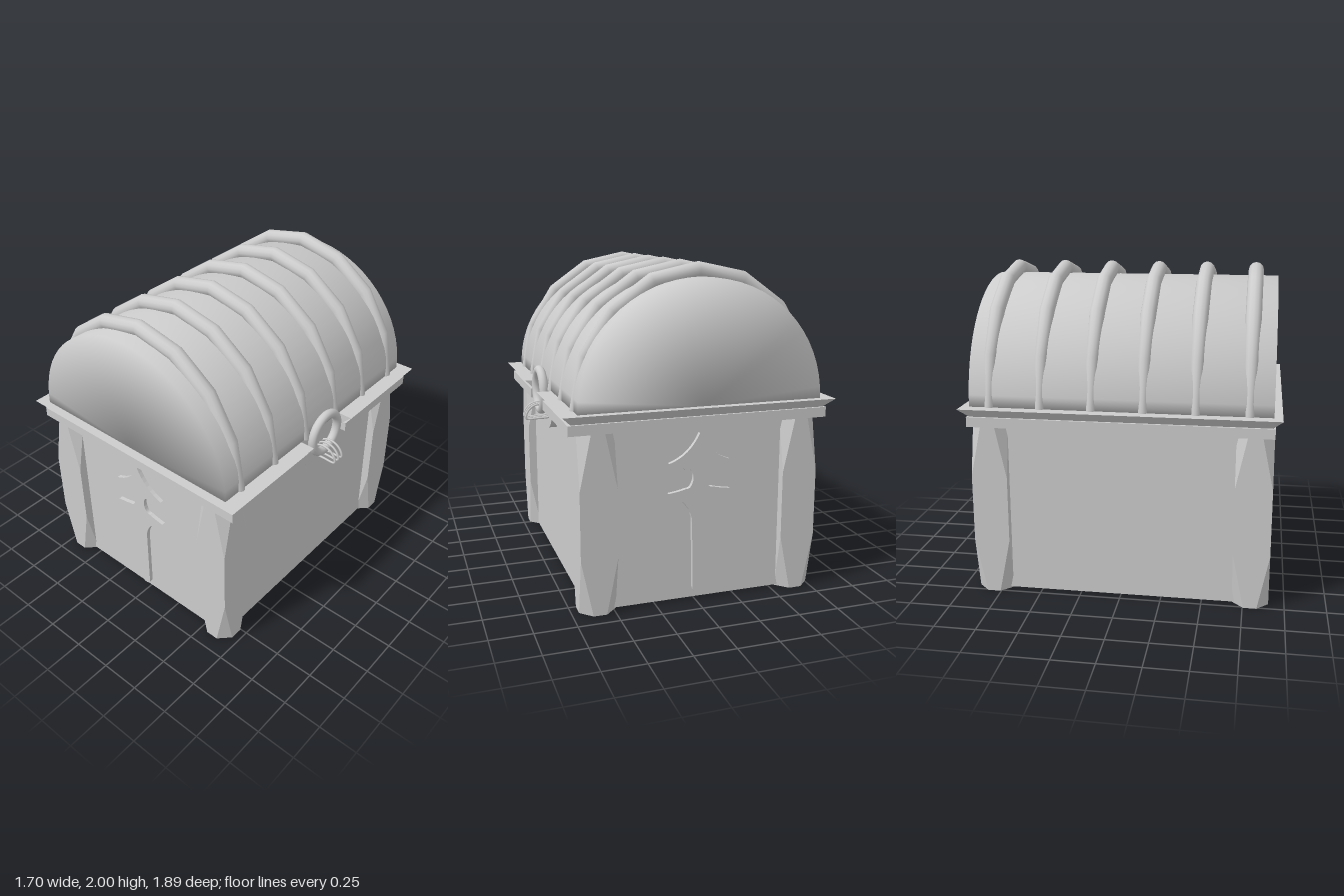
import * as THREE from 'three';
import { mergeGeometries, mergeVertices } from 'three/addons/utils/BufferGeometryUtils.js';
import { ConvexGeometry } from 'three/addons/geometries/ConvexGeometry.js';

const CX = -0.028; // middle of the chest body, the ring sticks out on +x
const grey = new THREE.MeshStandardMaterial({ color: 0xcccccc });
grey.name = 'plain grey';

function part(parent, name, geometry, x = 0, y = 0, z = 0) {
  const mesh = new THREE.Mesh(geometry, grey);
  mesh.name = name;
  mesh.position.set(x, y, z);
  parent.add(mesh);
  return mesh;
}

// Corner post: square in the middle, corners cut away towards both ends
function postGeometry() {
  const h = 0.11, c = 0.04, pts = [];
  for (const [y, k] of [[0, c], [0.34, h], [0.75, h], [1.08, c]]) {
    for (const a of [-1, 1]) for (const b of [-1, 1]) {
      pts.push(new THREE.Vector3(a * h, y, b * k));
      if (k !== h) pts.push(new THREE.Vector3(a * k, y, b * h));
    }
  }
  return new ConvexGeometry(pts);
}

// Rim layer: rectangle with a notch on +x, laid flat with its top at y = 0
function rimGeometry(x0, x1, z, height) {
  const s = new THREE.Shape();
  s.moveTo(x0, -z);
  for (const [x, y] of [[x1, -z], [x1, -0.2], [0.7, -0.2], [0.7, 0.195], [x1, 0.195], [x1, z], [x0, z]]) s.lineTo(x, y);
  return new THREE.ExtrudeGeometry(s, { depth: height, bevelEnabled: false }).rotateX(Math.PI / 2);
}

// Half-round lid, softly shaded across its ends
function lidGeometry() {
  const r = 0.74, len = 1.79;
  const arch = new THREE.CylinderGeometry(r, r, len, 32, 1, false, Math.PI / 2, Math.PI).rotateX(Math.PI / 2);
  const floor = new THREE.PlaneGeometry(2 * r, len, 2, 1).rotateX(Math.PI / 2);
  const g = mergeGeometries([arch, floor]);
  g.deleteAttribute('normal');
  g.deleteAttribute('uv');
  const merged = mergeVertices(g, 1e-3);
  merged.scale(1, 0.98, 1);
  merged.computeVertexNormals();
  return merged;
}

// Rib over the lid: eight straight lengths, thinner at the feet
function ribGeometry() {
  const steps = 8, sides = 12, pos = [], idx = [];
  for (let i = 0; i <= steps; i++) {
    const t = (i / steps) * Math.PI, c = Math.cos(t), s = Math.sin(t);
    const r = 0.028 + 0.019 * Math.min(1, s * 1.4);
    for (let j = 0; j < sides; j++) {
      const a = (j / sides) * Math.PI * 2, out = r * (Math.cos(a) - 1);
      pos.push((0.758 + out) * c, (0.81 + out) * s, r * Math.sin(a));
      if (i < steps) {
        const p = i * sides + j, q = i * sides + ((j + 1) % sides);
        idx.push(p, p + sides, q, q, p + sides, q + sides);
      }
    }
  }
  const g = new THREE.BufferGeometry();
  g.setAttribute('position', new THREE.Float32BufferAttribute(pos, 3));
  g.setIndex(idx);
  g.computeVertexNormals();
  return g;
}

// Dagger-like ornament with two round holes
function ornamentGeometry() {
  // each step: control x, control y, end x, end y
  const half = [
    [0.06, 0.90, 0.187, 0.86],
    [0.11, 0.845, 0.09, 0.815],
    [0.055, 0.83, 0.043, 0.795],
    [0.03, 0.765, 0.043, 0.735],
    [0.055, 0.695, 0.085, 0.70],
    [0.11, 0.69, 0.19, 0.68],
    [0.045, 0.61, 0.043, 0.49],
    [0.04, 0.3, 0.036, 0.09],
    [0.036, 0.042, 0, 0.042],
  ];
  const s = new THREE.Shape();
  s.moveTo(0, 1.03);
  for (const [a, b, x, y] of half) s.quadraticCurveTo(a, b, x, y);
  for (let i = half.length - 1; i >= 0; i--) {
    const [a, b] = half[i];
    const [x, y] = i ? half[i - 1].slice(2) : [0, 1.03];
    s.quadraticCurveTo(-a, b, -x, y);
  }
  for (const y of [0.883, 0.655]) {
    s.holes.push(new THREE.Path().absarc(0, y, 0.045, 0, Math.PI * 2, true));
  }
  return new THREE.ExtrudeGeometry(s, { depth: 0.03, bevelEnabled: false, curveSegments: 8 });
}

export function createModel() {
  const chest = new THREE.Group();
  chest.name = 'chest';

  // Body and corner posts
  part(chest, 'body', new THREE.BoxGeometry(1.36, 1.09, 1.7), CX, 0.555, 0);
  const post = postGeometry();
  for (const x of [-0.65, 0.595]) for (const z of [-0.795, 0.795]) part(chest, 'cornerPost', post, x, 0, z);

  // Ornaments on front and back
  const ornament = ornamentGeometry();
  part(chest, 'frontOrnament', ornament, -0.018, 0, 0.845);
  part(chest, 'backOrnament', ornament, -0.018, 0, -0.845).rotation.y = Math.PI;

  // Rim: straight band below, flared ledge above
  part(chest, 'rimBand', rimGeometry(-0.81, 0.765, 0.905, 0.06), 0, 1.135, 0);
  const ledge = rimGeometry(-0.852, 0.8, 0.945, 0.06);
  const p = ledge.attributes.position;
  for (let i = 0; i < p.count; i++) {
    if (p.getY(i) > -0.03) continue;
    p.setX(i, THREE.MathUtils.clamp(p.getX(i), -0.79, 0.74));
    p.setZ(i, THREE.MathUtils.clamp(p.getZ(i), -0.885, 0.885));
  }
  ledge.computeVertexNormals();
  part(chest, 'rimLedge', ledge, 0, 1.19, 0);

  // Lid and ribs
  part(chest, 'lid', lidGeometry(), -0.033, 1.19, 0);
  const rib = ribGeometry();
  for (let i = 0; i < 6; i++) part(chest, 'lidRib', rib, -0.033, 1.19, 0.757 - 0.306 * i);

  // Ring handle on its round plate, held by three staples
  part(chest, 'handlePlate', new THREE.CylinderGeometry(0.168, 0.168, 0.06, 40).rotateZ(Math.PI / 2), 0.67, 1.083, 0);
  part(chest, 'handleRing', new THREE.TorusGeometry(0.128, 0.028, 14, 40).rotateY(Math.PI / 2), 0.741, 1.165, -0.005);
  const path = [[0.69, 1.05], [0.74, 1.08], [0.8, 1.07], [0.838, 1.03], [0.843, 0.993], [0.77, 0.99], [0.69, 1.0]];
  const curve = new THREE.CatmullRomCurve3(path.map(([x, y]) => new THREE.Vector3(x, y, 0)), true);
  const staple = new THREE.TubeGeometry(curve, 40, 0.007, 8, true);
  for (const z of [0.02, -0.018, -0.055]) part(chest, 'staple', staple, 0, 0, z);

  return chest;
}
